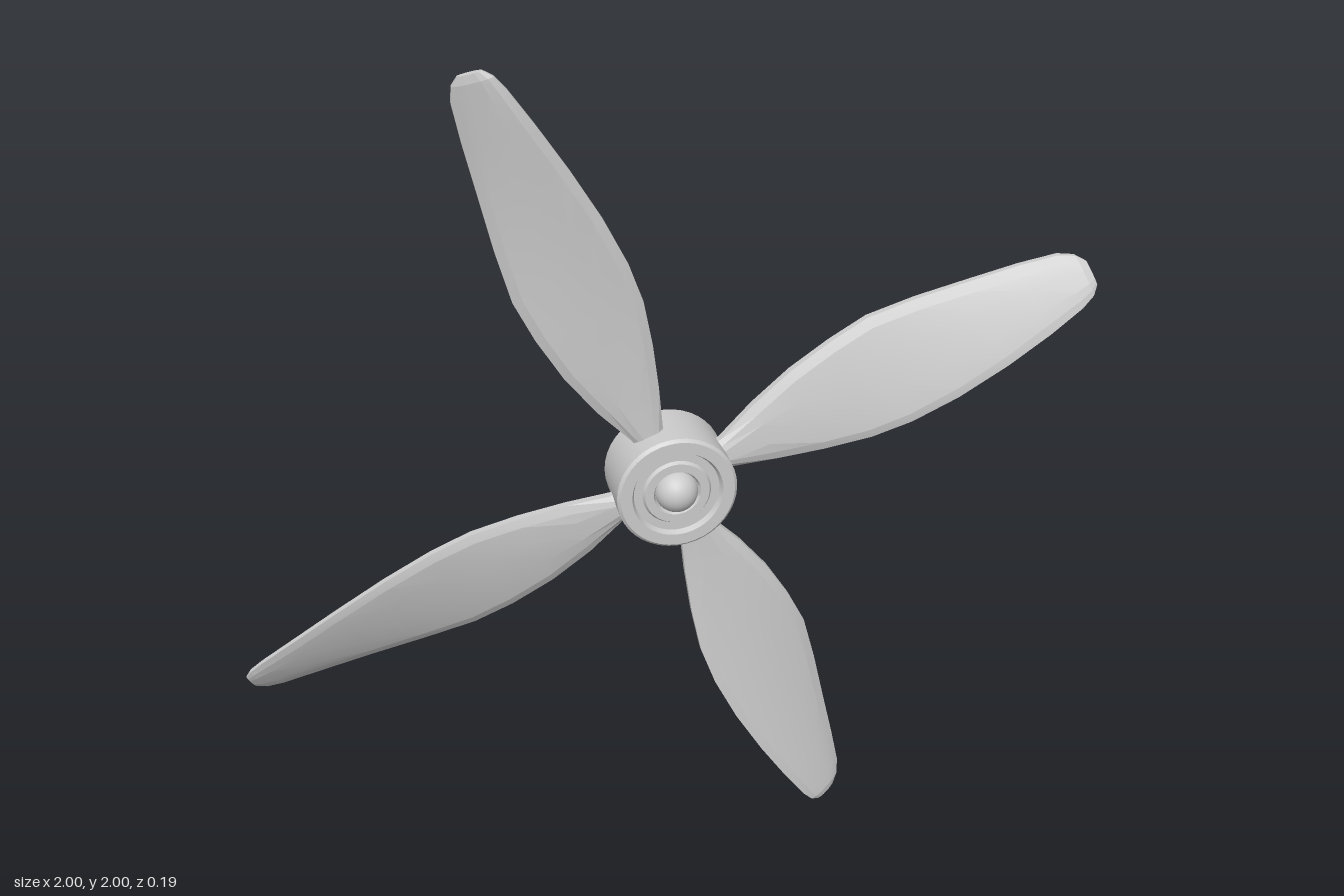
import * as THREE from 'three';
import { toCreasedNormals } from 'three/addons/utils/BufferGeometryUtils.js';

// Blade stations: distance from hub, trailing edge, leading edge, twist slope, half thickness
const STATIONS = [
  [0.09, -0.028, 0.034, 0.0, 0.024],
  [0.14, -0.034, 0.042, 0.06, 0.023],
  [0.24, -0.064, 0.084, 0.1, 0.022],
  [0.35, -0.092, 0.117, 0.15, 0.022],
  [0.46, -0.113, 0.136, 0.2, 0.021],
  [0.56, -0.117, 0.144, 0.27, 0.02],
  [0.68, -0.108, 0.13, 0.35, 0.019],
  [0.81, -0.088, 0.109, 0.44, 0.018],
  [0.93, -0.064, 0.09, 0.53, 0.017],
  [1.02, -0.043, 0.073, 0.58, 0.016],
  [1.055, -0.03, 0.057, 0.58, 0.014],
  [1.073, -0.014, 0.037, 0.58, 0.008],
];

// Cross-section as [across -1..1, edge inset, thickness factor]
const FRONT = [[1, 0, 0.4], [1, 1, 0.8], [0.35, 0, 1], [-0.35, 0, 1], [-1, 1, 0.8], [-1, 0, 0.4]];
const SECTION = [...FRONT, ...FRONT.map(([a, i, h]) => [a, i, -h]).reverse()];

function bladeGeometry() {
  const n = SECTION.length, positions = [], index = [];
  for (const [s, lo, hi, slope, thick] of STATIONS) {
    const mid = (lo + hi) / 2, half = (hi - lo) / 2;
    const inset = Math.min(0.022, half * 0.3);
    for (const [a, i, h] of SECTION) {
      const t = mid + a * half - Math.sign(a) * i * inset;
      positions.push(s, t, -0.008 - t * slope + h * thick);
    }
  }
  const last = (STATIONS.length - 1) * n;
  for (let r = 0; r < last; r += n) {
    for (let j = 0; j < n; j++) {
      const k = (j + 1) % n;
      index.push(r + j, r + k, r + n + k, r + j, r + n + k, r + n + j);
    }
  }
  // End caps
  for (let j = 1; j < n - 1; j++) {
    index.push(last, last + j, last + j + 1, 0, j + 1, j);
  }
  const geo = new THREE.BufferGeometry();
  geo.setAttribute('position', new THREE.Float32BufferAttribute(positions, 3));
  geo.setIndex(index);
  return toCreasedNormals(geo, 0.12);
}

// Hub profile (radius, depth) from the back bore, around the rim, to the front face
function hubGeometry() {
  const profile = [
    [0, -0.045], [0.05, -0.045], [0.055, -0.085], [0.075, -0.085], [0.08, -0.075],
    [0.1, -0.075], [0.105, -0.09], [0.133, -0.09], [0.14, -0.084],
    [0.14, 0.058], [0.133, 0.065], [0.106, 0.065], [0.1, 0.052],
    [0.08, 0.052], [0.075, 0.06], [0.055, 0.06], [0.05, 0.05], [0, 0.05],
  ].map(([r, d]) => new THREE.Vector2(r, d));
  return toCreasedNormals(new THREE.LatheGeometry(profile, 40).rotateX(Math.PI / 2), 0.5);
}

export function createModel() {
  const model = new THREE.Group();
  model.name = 'propeller';
  const material = new THREE.MeshStandardMaterial({ color: 0xcccccc });

  const add = (name, geometry) => {
    const mesh = new THREE.Mesh(geometry, material);
    mesh.name = name;
    mesh.position.y = 1;
    model.add(mesh);
    return mesh;
  };

  add('hub', hubGeometry());

  // Rounded nose at the front of the hub
  add('noseCap', new THREE.SphereGeometry(0.05, 24, 16)).position.z = 0.045;

  // Four twisted blades
  const blade = bladeGeometry();
  for (let i = 0; i < 4; i++) {
    add(`blade${i + 1}`, blade).rotation.z = THREE.MathUtils.degToRad(22 + 90 * i);
  }
  return model;
}
